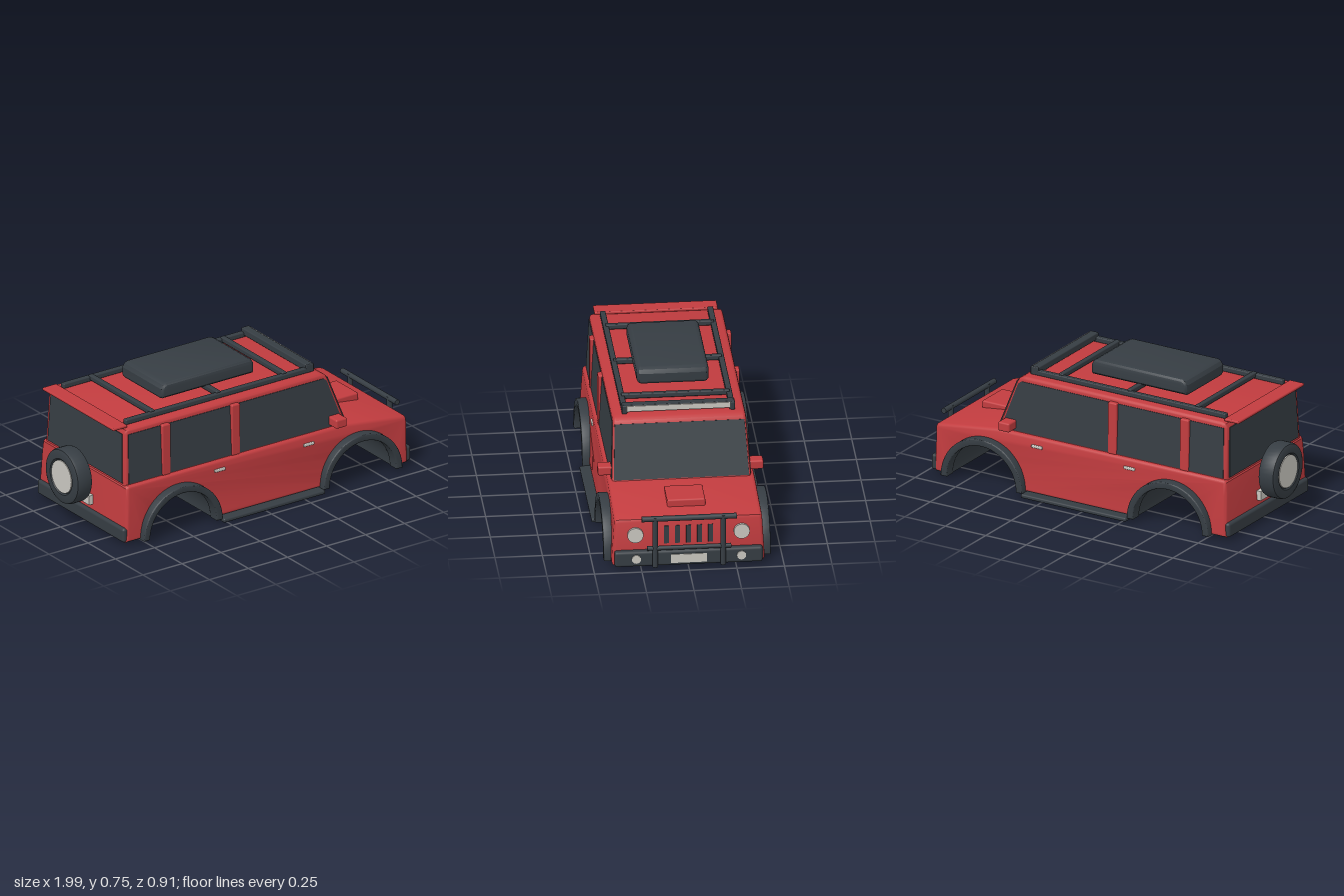
import * as THREE from 'three';
import { toCreasedNormals } from 'three/addons/utils/BufferGeometryUtils.js';
import { RoundedBoxGeometry } from 'three/addons/geometries/RoundedBoxGeometry.js';

const ARCH_X = [-0.52, 0.63], ARCH_Y = 0.02, ARCH_R = 0.22;
const SIDES = [-1, 1];

export function createModel() {
  const car = new THREE.Group();
  car.name = 'offRoadCar';
  const mat = (name, hex) => {
    const m = new THREE.MeshStandardMaterial({ color: hex });
    m.name = name;
    return m;
  };
  const red = mat('red paint', 0xc23c3f);
  const dark = mat('dark trim', 0x363d43);
  const light = mat('light grey', 0xcac8c1);

  const add = (name, geo, material) => {
    const mesh = new THREE.Mesh(geo, material);
    mesh.name = name;
    car.add(mesh);
    return mesh;
  };
  // Box given by its min and max on each axis, optionally rounded
  const box = (name, material, [x0, x1], [y0, y1], [z0, z1], r = 0) => {
    const size = [x1 - x0, y1 - y0, z1 - z0];
    const geo = r ? new RoundedBoxGeometry(...size, 3, r) : new THREE.BoxGeometry(...size);
    geo.translate((x0 + x1) / 2, (y0 + y1) / 2, (z0 + z1) / 2);
    return add(name, geo, material);
  };
  // Same box on both sides of the car
  const pair = (name, material, xs, ys, [z0, z1], r) => {
    box(name + 'Near', material, xs, ys, [z0, z1], r);
    box(name + 'Far', material, xs, ys, [-z1, -z0], r);
  };
  // Disc or rod whose axis runs along x
  const discX = (name, material, r, x0, x1, y, z, seg = 32) => {
    const geo = new THREE.CylinderGeometry(r, r, x1 - x0, seg).rotateZ(-Math.PI / 2);
    return add(name, geo.translate((x0 + x1) / 2, y, z), material);
  };
  // Profile in x-y extruded between z0 and z1 with rounded edges kept inside it
  const extrude = (shape, z0, z1, bevel) => {
    const geo = new THREE.ExtrudeGeometry(shape, {
      depth: z1 - z0 - 2 * bevel, curveSegments: 24, bevelEnabled: bevel > 0,
      bevelSize: bevel, bevelThickness: bevel, bevelOffset: -bevel, bevelSegments: 3,
    });
    return geo.translate(0, 0, z0 + bevel);
  };
  // Lean the sides inwards: z moves by slope for each unit above y0
  const lean = (geo, y0, slope) => {
    const p = geo.attributes.position;
    for (let i = 0; i < p.count; i++) {
      const z = p.getZ(i);
      p.setZ(i, z - Math.sign(z) * (p.getY(i) - y0) * slope);
    }
    geo.computeVertexNormals();
    return toCreasedNormals(geo, 0.6);
  };
  const polygon = (pts) => new THREE.Shape(pts.map(([x, y]) => new THREE.Vector2(x, y)));

  // Lower body with both wheel arches cut through it
  const side = new THREE.Shape();
  side.moveTo(-0.86, 0.02);
  for (const x of ARCH_X) {
    side.lineTo(x - ARCH_R, ARCH_Y);
    side.absarc(x, ARCH_Y, ARCH_R, Math.PI, 0, true);
  }
  for (const [x, y] of [[0.94, 0.02], [0.945, 0.265], [0.938, 0.28], [0.92, 0.287],
    [0.56, 0.333], [-0.835, 0.333], [-0.847, 0.32], [-0.852, 0.25]]) side.lineTo(x, y);
  const bodyGeo = lean(extrude(side, -0.404, 0.404, 0.018), 0.02, 0.06);
  bodyGeo.clearGroups();

  // Floor and wheel wells are dark, the rest is painted
  const pos = bodyGeo.attributes.position;
  const tri = new THREE.Triangle(), mid = new THREE.Vector3(), nor = new THREE.Vector3();
  for (let i = 0; i < pos.count; i += 3) {
    tri.setFromAttributeAndIndices(pos, i, i + 1, i + 2);
    tri.getMidpoint(mid);
    tri.getNormal(nor);
    const inArch = ARCH_X.some((x) => Math.hypot(mid.x - x, mid.y - ARCH_Y) < ARCH_R + 0.02);
    const inner = Math.abs(nor.z) < 0.9 && (inArch || (mid.y < 0.04 && nor.y < -0.5));
    bodyGeo.addGroup(i, 3, inner ? 1 : 0);
  }
  add('lowerBody', bodyGeo, [red, dark]);

  // Cabin
  const cabin = polygon([[-0.842, 0.3], [0.585, 0.3], [0.467, 0.605], [0.456, 0.626],
    [0.435, 0.638], [0.41, 0.642], [-0.8, 0.642], [-0.822, 0.636], [-0.832, 0.615]]);
  add('cabin', lean(extrude(cabin, -0.366, 0.366, 0.016), 0.33, 0.055), red);

  // Side windows, one thin plate on each side
  const glass = polygon([[-0.822, 0.337], [0.552, 0.337], [0.455, 0.598], [0.435, 0.614], [-0.815, 0.614]]);
  for (const s of SIDES) {
    const [z0, z1] = s > 0 ? [0.363, 0.369] : [-0.369, -0.363];
    add('sideWindow', lean(extrude(glass, z0, z1, 0), 0.33, 0.055), dark);
  }
  // Windscreen and rear window
  const slab = (name, x, y, len, half, angle) => {
    const geo = new THREE.BoxGeometry(0.008, len, half * 2).rotateZ(angle).translate(x, y, 0);
    add(name, lean(geo, 0.33, 0.055), dark);
  };
  slab('windscreen', 0.519, 0.473, 0.294, 0.357, 0.369);
  slab('rearWindow', -0.837, 0.475, 0.275, 0.34, -0.032);

  // Door pillars, mirrors, handles and side steps
  for (const x of [-0.582, -0.137]) pair('doorPillar', red, [x - 0.027, x + 0.027], [0.33, 0.62], [0.335, 0.373], 0.008);
  pair('mirror', red, [0.46, 0.53], [0.345, 0.396], [0.352, 0.436], 0.01);
  for (const x of [-0.255, 0.315]) pair('doorHandle', light, [x - 0.034, x + 0.034], [0.274, 0.29], [0.375, 0.397], 0.005);
  pair('sideStep', dark, [-0.272, 0.378], [0.003, 0.026], [0.388, 0.455], 0.009);

  // Wheel arch flares
  for (const x of ARCH_X) {
    const ring = new THREE.Shape();
    ring.absarc(x, ARCH_Y, 0.252, 0, Math.PI, false);
    ring.absarc(x, ARCH_Y, 0.214, Math.PI, 0, true);
    for (const s of SIDES) {
      const geo = extrude(ring, s > 0 ? 0.372 : -0.44, s > 0 ? 0.44 : -0.372, 0.006);
      add('archFlare', toCreasedNormals(geo, 0.6), dark);
    }
  }

  // Bonnet scoop
  box('bonnetScoop', red, [0.66, 0.838], [0.285, 0.338], [-0.1, 0.1], 0.01);

  // Front end
  box('frontBumper', dark, [0.905, 0.972], [0.02, 0.107], [-0.39, 0.39], 0.015);
  box('frontPlate', light, [0.97, 0.976], [0.037, 0.086], [-0.094, 0.094]);
  for (let i = -2; i <= 2; i++) {
    const z = i * 0.058;
    box('grilleSlot', dark, [0.94, 0.949], [0.14, 0.24], [z - 0.012, z + 0.012]);
  }
  for (const s of SIDES) {
    discX('headlight', light, 0.042, 0.93, 0.958, 0.195, s * 0.28);
    discX('fogLight', light, 0.024, 0.96, 0.978, 0.066, s * 0.277, 24);
  }

  // Bull bar
  for (const s of SIDES) {
    const post = new THREE.CylinderGeometry(0.015, 0.015, 0.285, 16).translate(0.98, 0.165, s * 0.179);
    add('bullBarPost', post, dark);
  }
  for (const [y, half, r] of [[0.299, 0.25, 0.015], [0.129, 0.221, 0.012]]) {
    const bar = new THREE.CylinderGeometry(r, r, half * 2, 16).rotateX(Math.PI / 2);
    add('bullBarRail', bar.translate(0.98, y, 0), dark);
  }

  // Rear end with spare wheel
  box('rearBumper', dark, [-0.876, -0.815], [0.02, 0.1], [-0.395, 0.395], 0.015);
  box('rearPlate', light, [-0.88, -0.853], [0.13, 0.182], [-0.09, 0.09]);
  box('rearSpoiler', red, [-0.89, -0.8], [0.641, 0.657], [-0.325, 0.325], 0.006);
  const tyre = [[0, -0.05], [0.135, -0.05], [0.147, -0.044], [0.152, -0.03], [0.152, 0.03],
    [0.147, 0.044], [0.135, 0.05], [0.1, 0.05], [0.093, 0.042], [0, 0.042]];
  const tyreGeo = new THREE.LatheGeometry(tyre.map(([r, y]) => new THREE.Vector2(r, y)), 40);
  tyreGeo.rotateZ(Math.PI / 2).translate(-0.947, 0.29, 0);
  add('spareTyre', toCreasedNormals(tyreGeo, 0.6), dark);
  discX('spareHub', light, 0.09, -0.995, -0.985, 0.29, 0);

  // Roof rack, light bar and roof box
  pair('rackRail', dark, [-0.79, 0.41], [0.642, 0.67], [0.268, 0.298], 0.006);
  for (const x of [-0.61, -0.188, 0.235]) box('rackBar', dark, [x - 0.014, x + 0.014], [0.65, 0.678], [-0.285, 0.285], 0.006);
  box('lightBar', dark, [0.362, 0.408], [0.652, 0.69], [-0.292, 0.292], 0.006);
  pair('lightBarPost', dark, [0.365, 0.414], [0.642, 0.688], [0.273, 0.298], 0.005);
  box('lightBarLens', light, [0.406, 0.413], [0.655, 0.686], [-0.273, 0.273]);
  const lid = polygon([[-0.475, 0.668], [0.105, 0.668], [0.112, 0.68], [0.112, 0.725], [0.1, 0.745],
    [0.08, 0.755], [-0.45, 0.755], [-0.47, 0.745], [-0.482, 0.725], [-0.482, 0.68]]);
  add('roofBox', toCreasedNormals(extrude(lid, -0.19, 0.19, 0.025), 0.5), dark);

  return car;
}
